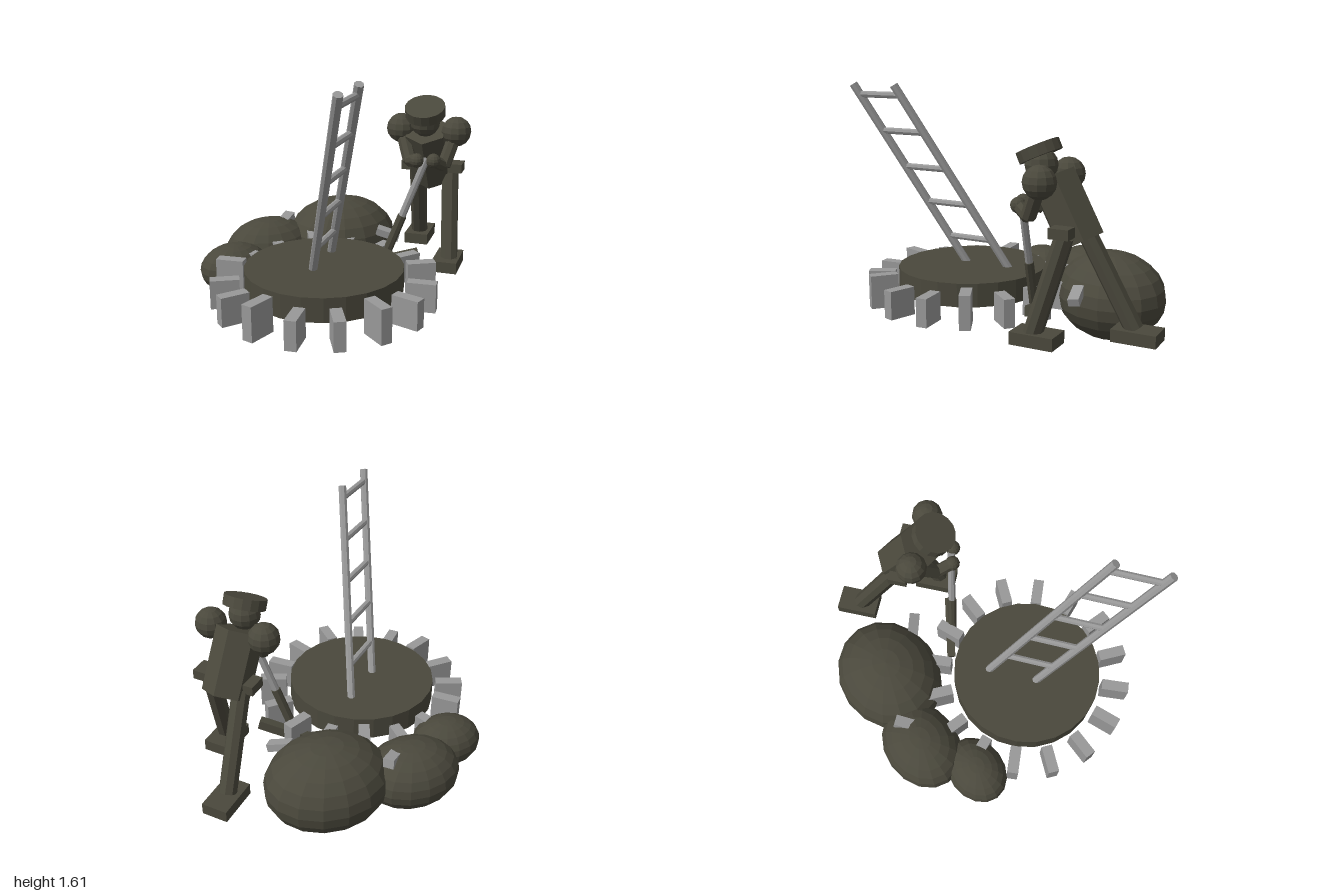
import * as THREE from 'three';

const flat = (name, color) => {
  const m = new THREE.MeshStandardMaterial({ color, flatShading: true });
  m.name = name;
  return m;
};
const V = (x, y, z) => new THREE.Vector3(x, y, z);

export function createModel() {
  const model = new THREE.Group();
  model.name = 'diggingScene';
  const olive = flat('dark olive', 0x4a483c);
  const grey = flat('light grey', 0x989898);

  const add = (parent, name, geometry, material, pos) => {
    const mesh = new THREE.Mesh(geometry, material);
    mesh.name = name;
    mesh.position.copy(pos);
    parent.add(mesh);
    return mesh;
  };
  // Straight rod from a to b
  const rod = (parent, name, a, b, r, sides, material) => {
    const d = b.clone().sub(a);
    const mesh = add(parent, name, new THREE.CylinderGeometry(r, r, d.length(), sides), material,
      a.clone().add(b).multiplyScalar(0.5));
    mesh.quaternion.setFromUnitVectors(V(0, 1, 0), d.normalize());
    return mesh;
  };
  const ball = (parent, name, pos, r, material, w = 12, h = 8) =>
    add(parent, name, new THREE.SphereGeometry(r, w, h), material, pos);
  const group = (name) => {
    const g = new THREE.Group();
    g.name = name;
    model.add(g);
    return g;
  };

  // Round platform
  const cx = -0.31, cz = 0.172;
  add(model, 'platform', new THREE.CylinderGeometry(0.487, 0.487, 0.15, 24), olive, V(cx, 0.343, cz));

  // Ring of stone blocks, every third one taller
  const ring = group('stoneRing');
  for (let i = 0; i < 16; i++) {
    const a = (i * Math.PI) / 8;
    const h = i % 3 === 1 ? 0.215 : 0.18;
    const block = add(ring, 'ringBlock', new THREE.BoxGeometry(0.177, h, 0.07), grey,
      V(cx + 0.602 * Math.cos(a), 0.19 + h / 2, cz + 0.602 * Math.sin(a)));
    block.rotation.y = -a;
  }

  // Boulders behind the platform
  const boulders = group('boulders');
  [
    [0.25, 0.283, -0.57, 0.395, 0.28, 0.337],
    [-0.27, 0.26, -0.67, 0.31, 0.208, 0.245],
    [-0.62, 0.25, -0.474, 0.23, 0.16, 0.184],
  ].forEach(([x, y, z, sx, sy, sz]) => {
    ball(boulders, 'boulder', V(x, y, z), 1, olive, 16, 12).scale.set(sx, sy, sz);
  });

  // Loose blocks lying among the boulders
  const looseA = add(model, 'looseBlock', new THREE.BoxGeometry(0.17, 0.06, 0.07), grey, V(-0.14, 0.425, -0.68));
  looseA.rotation.set(0.1, 0.7, 0.1);
  const looseB = add(model, 'looseBlock', new THREE.BoxGeometry(0.16, 0.05, 0.07), grey, V(0.43, 0.36, -0.24));
  looseB.rotation.set(0.15, -0.7, -0.2);

  // Ladder leaning out of the platform
  const ladder = group('ladder');
  const leftTop = V(-0.612, 1.6, 0.865), rightTop = V(-0.366, 1.6, 0.66);
  const along = (top, y) => V(top.x + (1.6 - y) * 0.182, y, top.z - (1.6 - y) * 0.571);
  for (const top of [leftTop, rightTop]) rod(ladder, 'ladderRail', along(top, 0.21), top, 0.027, 8, grey);
  for (let i = 0; i < 5; i++) {
    const y = 1.535 - i * 0.235;
    rod(ladder, 'ladderRung', along(leftTop, y), along(rightTop, y), 0.021, 8, grey);
  }

  // Digging figure: heading turns local +z to the walking direction
  const figure = group('figure');
  const heading = Math.atan2(-0.75, 0.66);

  const torso = rod(figure, 'torso', V(0.72, 0.77, -0.13), V(0.57, 1.12, -0.015), 0.145, 6, olive);
  torso.rotateY(heading);
  const belt = add(figure, 'belt', new THREE.BoxGeometry(0.41, 0.06, 0.12), olive, V(0.69, 0.85, -0.088));
  belt.rotation.y = heading;

  // Head and tilted cap
  ball(figure, 'head', V(0.525, 1.19, 0.035), 0.097, olive);
  const cap = add(figure, 'cap', new THREE.CylinderGeometry(0.13, 0.13, 0.065, 16), olive, V(0.515, 1.265, 0.045));
  cap.rotation.set(0.42, heading, 0, 'YXZ');

  // Arms and legs: shoulder, elbow, hand, hip, ankle, foot centre
  [
    ['left', V(0.71, 1.12, 0.125), V(0.60, 0.91, 0.145), V(0.5, 0.96, 0.165),
      V(0.77, 0.82, 0.0), V(0.67, 0.25, 0.145), V(0.675, 0.228, 0.123)],
    ['right', V(0.475, 1.12, -0.16), V(0.44, 0.93, -0.01), V(0.415, 0.96, 0.1),
      V(0.64, 0.82, -0.19), V(0.83, 0.26, -0.415), V(0.845, 0.228, -0.43)],
  ].forEach(([side, shoulder, elbow, hand, hip, ankle, foot]) => {
    ball(figure, side + 'Shoulder', shoulder, 0.097, olive);
    rod(figure, side + 'UpperArm', shoulder, elbow, 0.045, 8, olive);
    rod(figure, side + 'Forearm', elbow, hand, 0.04, 8, olive);
    ball(figure, side + 'Hand', hand, 0.047, olive);
    rod(figure, side + 'Leg', hip, ankle, 0.057, 8, olive);
    const boot = add(figure, side + 'Boot', new THREE.BoxGeometry(0.167, 0.075, 0.27), olive, foot);
    boot.rotation.y = heading;
  });

  // Pick: grey handle, dark sleeve and crosswise head
  const pick = group('pick');
  const grip = V(0.47, 0.97, 0.13), base = V(0.255, 0.25, -0.04);
  const joint = base.clone().lerp(grip, 0.46);
  rod(pick, 'pickHandle', joint, grip, 0.024, 8, grey);
  rod(pick, 'pickSleeve', base, joint, 0.03, 8, olive);
  const from = V(0.13, 0.21, -0.14), to = V(0.46, 0.31, 0.08);
  const head = add(pick, 'pickHead', new THREE.BoxGeometry(0.055, 0.065, from.distanceTo(to)), olive,
    from.clone().add(to).multiplyScalar(0.5));
  head.lookAt(to);

  return model;
}
